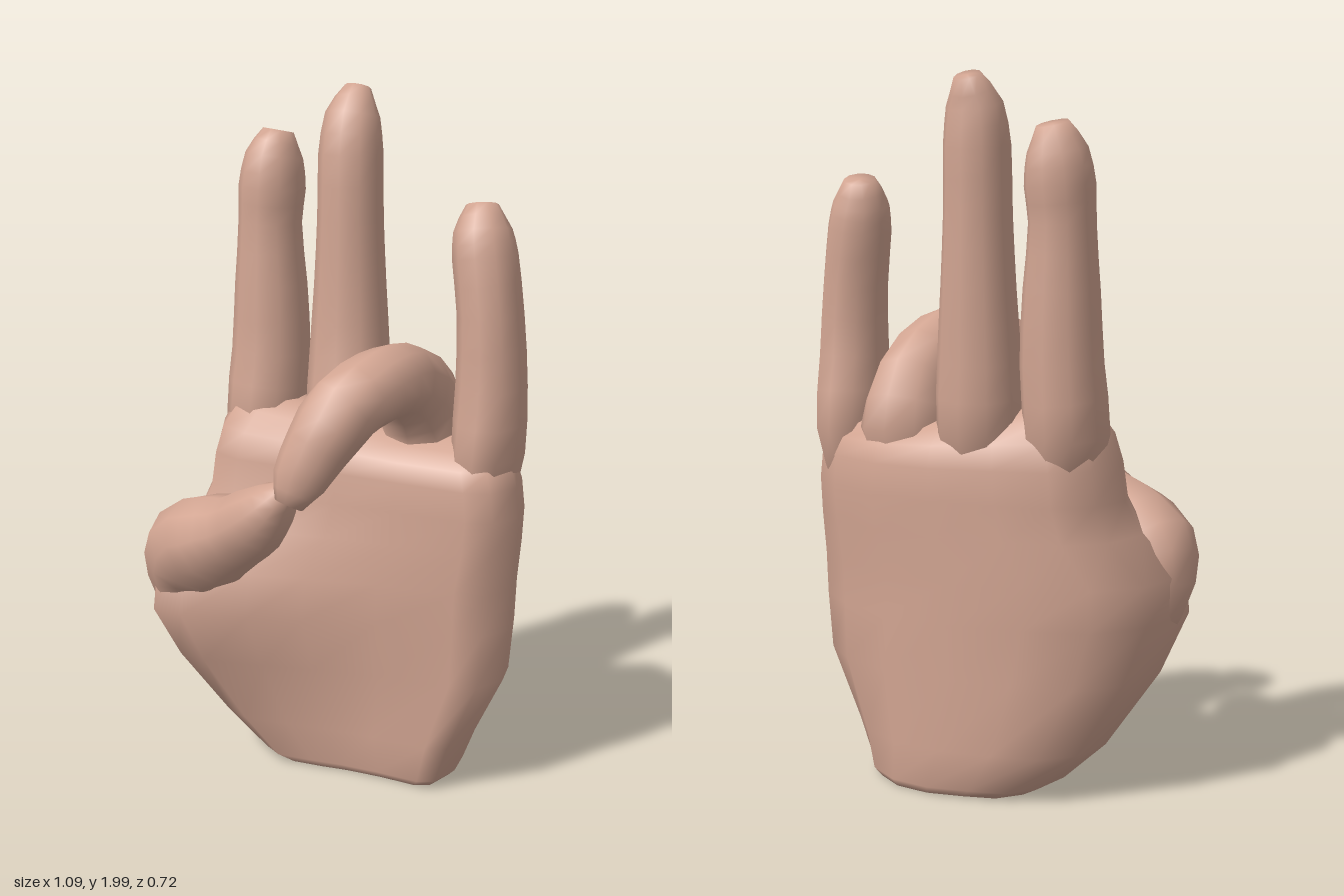
import * as THREE from 'three';

const skin = new THREE.MeshStandardMaterial({ color: 0xd2a592 });

// Skin a stack of equal-sized rings and close both ends with fans.
function loft(name, rings) {
  const n = rings[0].length, pos = [], index = [];
  rings.forEach(r => r.forEach(p => pos.push(p.x, p.y, p.z)));
  for (let i = 0; i < rings.length - 1; i++) {
    for (let j = 0; j < n; j++) {
      const a = i * n + j, b = i * n + (j + 1) % n;
      index.push(a, b, b + n, a, b + n, a + n);
    }
  }
  [0, rings.length - 1].forEach((ri, end) => {
    const c = new THREE.Vector3();
    rings[ri].forEach(p => c.addScaledVector(p, 1 / n));
    const k = pos.length / 3;
    pos.push(c.x, c.y, c.z);
    for (let j = 0; j < n; j++) {
      const a = ri * n + j, b = ri * n + (j + 1) % n;
      if (end) index.push(a, b, k); else index.push(b, a, k);
    }
  });
  const g = new THREE.BufferGeometry();
  g.setAttribute('position', new THREE.Float32BufferAttribute(pos, 3));
  g.setIndex(index);
  g.computeVertexNormals();
  const m = new THREE.Mesh(g, skin);
  m.name = name;
  return m;
}

// Finger along points [x, y, z, radius along ref, radius across].
function finger(name, pts, ref) {
  const path = new THREE.CatmullRomCurve3(pts.map(p => new THREE.Vector3(p[0], p[1], p[2])), false, 'centripetal');
  const size = new THREE.CatmullRomCurve3(pts.map(p => new THREE.Vector3(p[3], p[4], 0)), false, 'centripetal');
  const steps = (pts.length - 1) * 2, sides = 10, rings = [];
  for (let i = 0; i <= steps; i++) {
    const c = path.getPoint(i / steps), s = size.getPoint(i / steps), t = path.getTangent(i / steps);
    const u = ref.clone().addScaledVector(t, -ref.dot(t)).normalize();
    const v = t.clone().cross(u);
    const ring = [];
    for (let j = 0; j < sides; j++) {
      const a = (j + 0.5) / sides * Math.PI * 2;
      ring.push(c.clone().addScaledVector(u, Math.cos(a) * s.x).addScaledVector(v, Math.sin(a) * s.y));
    }
    rings.push(ring);
  }
  return loft(name, rings);
}

// Palm outline across the hand: [share of width, z], from the thumb edge round the front.
const OUTLINE = [
  [0, -0.1], [0.03, -0.02], [0.12, 0.02], [0.3, 0.02], [0.45, 0.015], [0.65, 0.02], [0.87, 0.035], [0.95, 0.015],
  [1, -0.08], [0.985, -0.18], [0.87, -0.28], [0.7, -0.345], [0.5, -0.36], [0.3, -0.335], [0.13, -0.305], [0.03, -0.23],
];

// Palm levels: [y, left x, right x, depth scale, bulge of the thumb pad].
const PALM = [
  [0.005, -0.17, 0.35, 0.88, 0], [0.03, -0.22, 0.375, 1, 0], [0.14, -0.34, 0.42, 1, 0.02],
  [0.34, -0.46, 0.515, 0.98, 0.12], [0.5, -0.51, 0.53, 0.96, 0.2], [0.62, -0.52, 0.535, 0.96, 0.15],
  [0.74, -0.43, 0.545, 0.96, 0.06], [0.84, -0.4, 0.55, 0.96, 0.01], [0.94, -0.39, 0.54, 0.95, 0],
  [1.02, -0.37, 0.52, 0.85, 0], [1.08, -0.34, 0.49, 0.6, 0], [1.11, -0.28, 0.43, 0.3, 0],
];

function palm() {
  return loft('palm', PALM.map(([y, l, r, d, bulge]) => OUTLINE.map(([u, z]) => {
    const pad = Math.max(0, 1 - u / 0.75) * Math.min(1, Math.max(0, (z + 0.36) / 0.24));
    // The knuckle line drops on the little-finger side.
    const drop = Math.max(0, y - 0.9) * 0.35 * Math.min(1, u * 1.5);
    return new THREE.Vector3(l + (r - l) * u, y - drop, -0.165 + (z + 0.165) * d + bulge * pad);
  })));
}

export function createModel() {
  const hand = new THREE.Group();
  hand.name = 'hand';
  const X = new THREE.Vector3(1, 0, 0), Z = new THREE.Vector3(0, 0, 1);
  hand.add(palm());

  // Three raised fingers
  hand.add(finger('indexFinger', [
    [-0.24, 0.82, -0.16, 0.06, 0.06], [-0.265, 1.03, -0.18, 0.118, 0.13], [-0.257, 1.22, -0.195, 0.116, 0.115],
    [-0.258, 1.42, -0.2, 0.106, 0.105], [-0.262, 1.6, -0.205, 0.092, 0.095], [-0.257, 1.7, -0.21, 0.097, 0.1],
    [-0.252, 1.79, -0.215, 0.083, 0.088], [-0.245, 1.86, -0.23, 0.044, 0.05],
  ], X));
  hand.add(finger('middleFinger', [
    [-0.02, 0.82, -0.18, 0.06, 0.06], [-0.02, 1.03, -0.215, 0.125, 0.13], [-0.025, 1.22, -0.235, 0.119, 0.11],
    [-0.028, 1.42, -0.245, 0.106, 0.1], [-0.03, 1.62, -0.25, 0.096, 0.094], [-0.032, 1.8, -0.257, 0.094, 0.09],
    [-0.033, 1.91, -0.272, 0.08, 0.07], [-0.03, 1.985, -0.305, 0.038, 0.035],
  ], X));
  hand.add(finger('littleFinger', [
    [0.43, 0.78, -0.13, 0.06, 0.07], [0.436, 1.0, -0.14, 0.1, 0.145], [0.443, 1.2, -0.135, 0.1, 0.112],
    [0.435, 1.4, -0.137, 0.093, 0.1], [0.412, 1.56, -0.148, 0.092, 0.092], [0.4, 1.63, -0.158, 0.082, 0.08],
    [0.39, 1.698, -0.18, 0.045, 0.045],
  ], X));

  // Ring finger curls forward to meet the thumb
  hand.add(finger('ringFinger', [
    [0.23, 0.82, -0.18, 0.06, 0.06], [0.225, 1.0, -0.2, 0.14, 0.13], [0.225, 1.13, -0.15, 0.118, 0.13],
    [0.222, 1.222, -0.01, 0.106, 0.105], [0.195, 1.232, 0.11, 0.107, 0.102], [0.14, 1.188, 0.215, 0.108, 0.1],
    [0.085, 1.09, 0.272, 0.093, 0.082], [0.045, 1.0, 0.305, 0.077, 0.062], [0.025, 0.935, 0.328, 0.042, 0.03],
  ], X));

  // Thumb crosses in front of the palm
  hand.add(finger('thumb', [
    [-0.41, 0.44, 0.05, 0.07, 0.06], [-0.435, 0.58, 0.05, 0.115, 0.105], [-0.39, 0.67, 0.08, 0.135, 0.145],
    [-0.29, 0.73, 0.125, 0.14, 0.135], [-0.2, 0.78, 0.172, 0.112, 0.108], [-0.12, 0.84, 0.212, 0.098, 0.098],
    [-0.06, 0.9, 0.238, 0.074, 0.07], [-0.02, 0.95, 0.252, 0.037, 0.032],
  ], Z));
  return hand;
}
